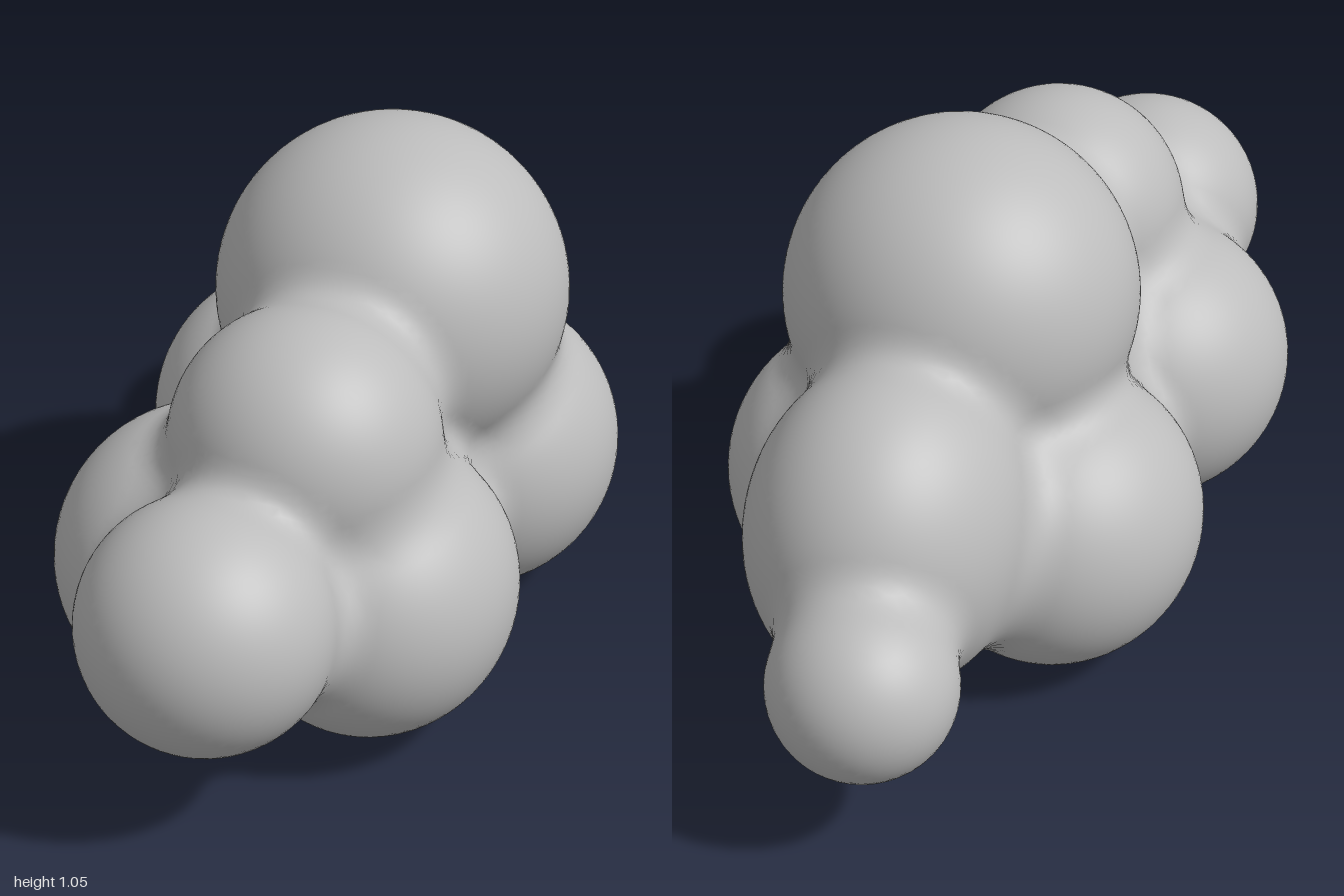
import * as THREE from 'three';

// Puffs of the cloud: centre x, y, z and radii x, y, z
const puffs = [
  [-0.043, 0.425, 0.757, 0.243, 0.243, 0.243], // front tip
  [0.025, 0.615, 0.40, 0.26, 0.262, 0.26],     // upper front
  [0.05, 0.70, -0.055, 0.35, 0.35, 0.35],      // crown
  [0.015, 0.445, -0.485, 0.27, 0.333, 0.315],  // upper back
  [-0.08, 0.357, -0.82, 0.18, 0.18, 0.18],     // tail tip
  [-0.18, 0.305, 0.39, 0.30, 0.297, 0.31],     // lower front right
  [0.155, 0.305, 0.385, 0.28, 0.29, 0.305],    // lower front left
  [-0.20, 0.30, -0.165, 0.288, 0.295, 0.31],   // lower back right
  [0.19, 0.305, -0.165, 0.30, 0.303, 0.31],    // lower back left
  [0, 0.40, 0.05, 0.25, 0.28, 0.55],           // core
];
const BLEND = 0.07;

// Approximate signed distance to one ellipsoid
function puffDistance([cx, cy, cz, rx, ry, rz], x, y, z) {
  const a = (x - cx) / rx, b = (y - cy) / ry, c = (z - cz) / rz;
  const k0 = Math.hypot(a, b, c), k1 = Math.hypot(a / rx, b / ry, c / rz);
  return k1 < 1e-6 ? -Math.min(rx, ry, rz) : k0 * (k0 - 1) / k1;
}

// Smooth union of all puffs
function field(x, y, z) {
  let d = 10;
  for (const puff of puffs) {
    const e = puffDistance(puff, x, y, z);
    const h = Math.max(BLEND - Math.abs(d - e), 0) / BLEND;
    d = Math.min(d, e) - h * h * BLEND / 4;
  }
  return d;
}

function gradient(x, y, z) {
  const e = 0.002;
  return new THREE.Vector3(
    field(x + e, y, z) - field(x - e, y, z),
    field(x, y + e, z) - field(x, y - e, z),
    field(x, y, z + e) - field(x, y, z - e)
  ).divideScalar(2 * e);
}

// Surface-net skin over the blended field
function blendedSkin(min, max, step) {
  const n = min.map((m, i) => Math.ceil((max[i] - m) / step) + 1);
  const stride = [1, n[0], n[0] * n[1]];
  const values = new Float32Array(n[0] * n[1] * n[2]);
  const eachPoint = (visit) => {
    for (let k = 0; k < n[2]; k++)
      for (let j = 0; j < n[1]; j++)
        for (let i = 0; i < n[0]; i++) visit([i, j, k], i + j * stride[1] + k * stride[2]);
  };
  eachPoint((p, id) => {
    values[id] = field(...p.map((c, a) => min[a] + c * step));
  });

  // One vertex in every cell crossed by the surface
  const positions = [], normals = [], indices = [];
  const vertexOf = new Int32Array(values.length).fill(-1);
  const corner = (c) => [c & 1, (c >> 1) & 1, (c >> 2) & 1];
  eachPoint((p, id) => {
    if (p.some((c, a) => c >= n[a] - 1)) return;
    const v = [];
    for (let c = 0; c < 8; c++) {
      const o = corner(c);
      v.push(values[id + o[0] + o[1] * stride[1] + o[2] * stride[2]]);
    }
    const sum = [0, 0, 0];
    let count = 0;
    for (let c = 0; c < 8; c++) {
      for (let a = 0; a < 3; a++) {
        const d = c | (1 << a);
        if (d === c || (v[c] < 0) === (v[d] < 0)) continue;
        const o = corner(c);
        o[a] = v[c] / (v[c] - v[d]);
        o.forEach((s, i) => { sum[i] += s; });
        count++;
      }
    }
    if (!count) return;
    const q = new THREE.Vector3(...p.map((c, a) => min[a] + (c + sum[a] / count) * step));
    for (let pass = 0; pass < 2; pass++) {
      const g = gradient(q.x, q.y, q.z);
      q.addScaledVector(g, -field(q.x, q.y, q.z) / Math.max(g.lengthSq(), 0.2));
    }
    vertexOf[id] = positions.length / 3;
    positions.push(q.x, q.y, q.z);
    normals.push(...gradient(q.x, q.y, q.z).normalize().toArray());
  });

  // One quad around every grid edge crossed by the surface
  eachPoint((p, id) => {
    for (let a = 0; a < 3; a++) {
      const u = (a + 1) % 3, w = (a + 2) % 3;
      if (p[a] >= n[a] - 1 || !p[u] || !p[w]) continue;
      const inside = values[id] < 0;
      if (inside === (values[id + stride[a]] < 0)) continue;
      const quad = [id - stride[u] - stride[w], id - stride[w], id, id - stride[u]].map((c) => vertexOf[c]);
      if (!inside) quad.reverse();
      indices.push(quad[0], quad[1], quad[2], quad[0], quad[2], quad[3]);
    }
  });

  const geometry = new THREE.BufferGeometry();
  geometry.setAttribute('position', new THREE.Float32BufferAttribute(positions, 3));
  geometry.setAttribute('normal', new THREE.Float32BufferAttribute(normals, 3));
  geometry.setIndex(indices);
  return geometry;
}

export function createModel() {
  const group = new THREE.Group();
  group.name = 'cloud';
  const material = new THREE.MeshStandardMaterial({ color: 0xbcbcbc });
  material.name = 'cloud grey';
  const body = new THREE.Mesh(blendedSkin([-0.6, -0.1, -1.1], [0.6, 1.15, 1.1], 0.02), material);
  body.name = 'cloudBody';
  group.add(body);
  return group;
}
